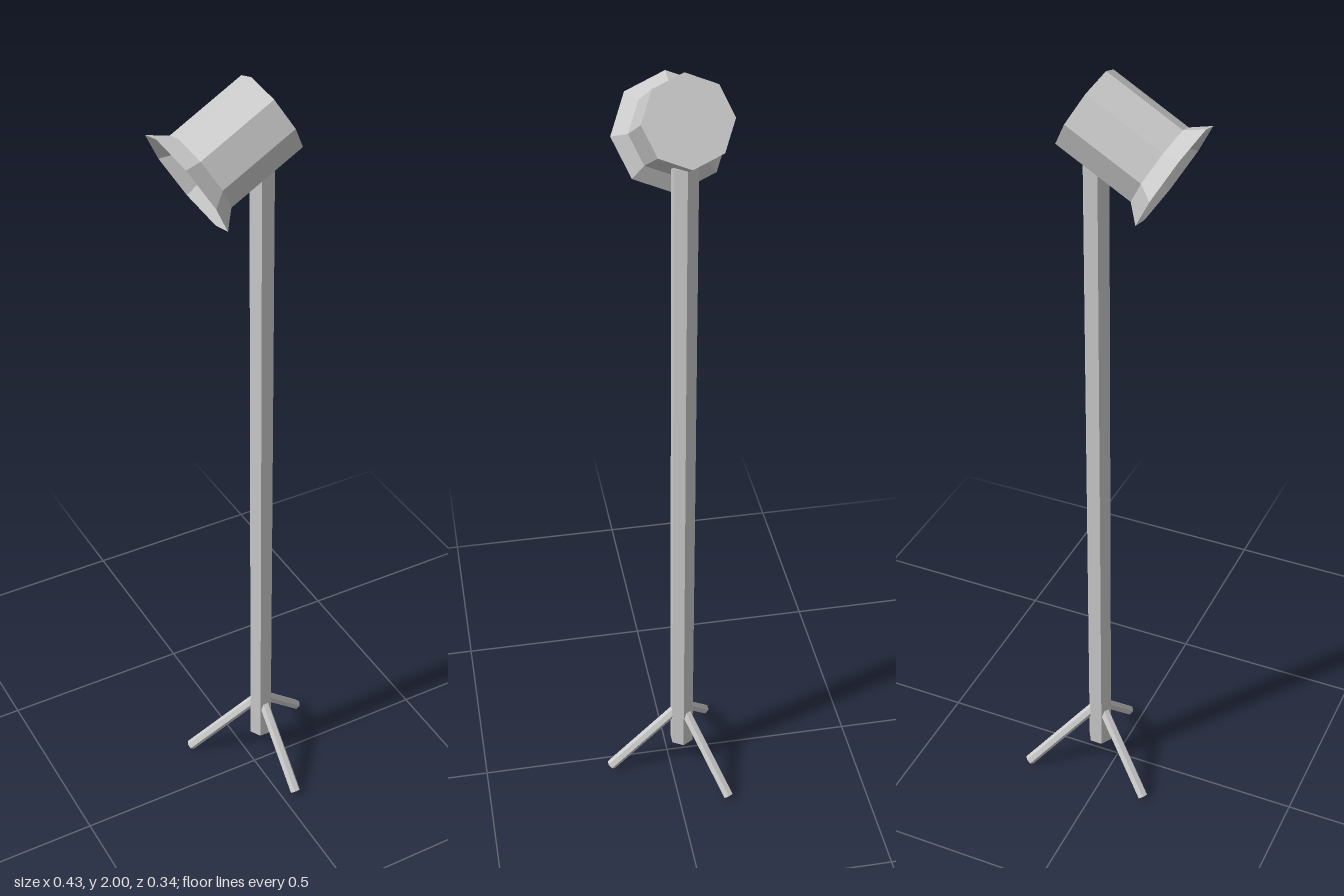
import * as THREE from 'three';

const AXIS_X = 0.038, AXIS_Z = -0.033;

export function createModel() {
  const model = new THREE.Group();
  model.name = 'spotlightOnStand';
  const solid = new THREE.MeshStandardMaterial({ color: 0xcccccc, flatShading: true });
  const open = new THREE.MeshStandardMaterial({ color: 0xcccccc, flatShading: true, side: THREE.DoubleSide });

  const add = (name, geometry, material, parent = model) => {
    const mesh = new THREE.Mesh(geometry, material);
    mesh.name = name;
    parent.add(mesh);
    return mesh;
  };

  // Hexagonal pole with corners on the x axis
  const pole = add('pole', new THREE.CylinderGeometry(0.032, 0.032, 1.72, 6).rotateY(Math.PI / 2), solid);
  pole.position.set(AXIS_X, 0.94, AXIS_Z);

  // Tripod: three hexagonal legs spread evenly, each built pointing to +z
  const top = new THREE.Vector3(0, 0.205, 0);
  const foot = new THREE.Vector3(0, 0.0085, 0.195);
  const span = foot.clone().sub(top);
  const legGeometry = new THREE.CylinderGeometry(0.0138, 0.0138, span.length(), 6)
    .rotateY(Math.PI / 2)
    .rotateX(Math.atan2(span.z, span.y))
    .translate(0, (top.y + foot.y) / 2, foot.z / 2);
  const tripod = new THREE.Group();
  tripod.name = 'tripod';
  tripod.position.set(AXIS_X, 0, AXIS_Z);
  for (let i = 0; i < 3; i++) {
    add('leg' + (i + 1), legGeometry, solid, tripod).rotation.y = (i * Math.PI * 2) / 3;
  }
  model.add(tripod);

  // Octagonal lamp head: open flared mouth, straight barrel, closed back
  const profile = [[0.137, -0.2425], [0.102, -0.203], [0.102, 0], [0, 0]]
    .map(([r, y]) => new THREE.Vector2(r, y));
  const head = add('lampHead', new THREE.LatheGeometry(profile, 8), open);
  head.position.set(0.063, 1.912, -0.035);
  head.rotation.z = -Math.PI / 3;

  return model;
}
